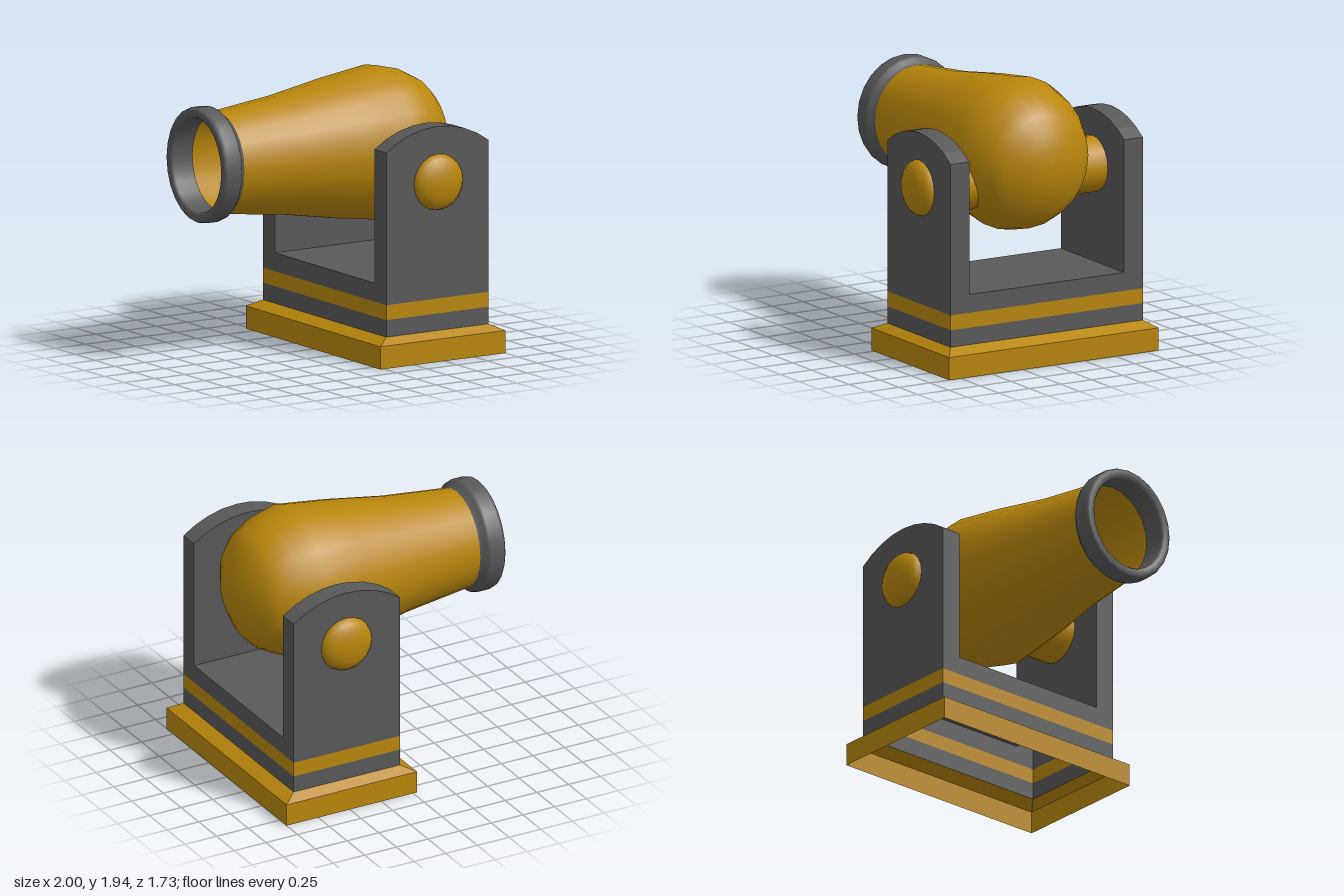
import * as THREE from 'three';

const amber = new THREE.MeshStandardMaterial({ color: 0xb8860b, side: THREE.DoubleSide });
amber.name = 'amber';
const grey = new THREE.MeshStandardMaterial({ color: 0x595959, side: THREE.DoubleSide });
grey.name = 'grey';

const X0 = 0.065, X1 = 0.905, CX = 0.485, Z = 0.775, ZIN = 0.625, DECK = 0.56;

function add(parent, name, geometry, material) {
  const mesh = new THREE.Mesh(geometry, material);
  mesh.name = name;
  parent.add(mesh);
  return mesh;
}

// Flat quads between two matching rows of [x, y, z] points
function strip(a, b) {
  const pos = [];
  for (let i = 0; i < a.length - 1; i++) {
    pos.push(...a[i], ...a[i + 1], ...b[i + 1], ...a[i], ...b[i + 1], ...b[i]);
  }
  const g = new THREE.BufferGeometry();
  g.setAttribute('position', new THREE.Float32BufferAttribute(pos, 3));
  g.computeVertexNormals();
  return g;
}

const rect = (y, x0, x1, z) => [[x0, y, z], [x1, y, z], [x1, y, -z], [x0, y, -z], [x0, y, z]];

function lathe(points, segments) {
  return new THREE.LatheGeometry(points.map(([r, h]) => new THREE.Vector2(r, h)), segments);
}

export function createModel() {
  const model = new THREE.Group();
  model.name = 'cannon';

  // Plinth with a sloped top edge, open underneath
  add(model, 'plinth', strip(rect(0, -0.03, 1, 0.845), rect(0.16, -0.03, 1, 0.845)), amber);
  add(model, 'plinthSlope', strip(rect(0.16, -0.03, 1, 0.845), rect(0.205, X0, X1, Z)), amber);

  // Hollow yoke body with a painted band
  const yoke = new THREE.Group();
  yoke.name = 'yoke';
  model.add(yoke);
  const ring = (y) => rect(y, X0, X1, Z);
  add(yoke, 'lowerBody', strip(ring(0.205), ring(0.325)), grey);
  add(yoke, 'band', strip(ring(0.325), ring(0.43)), amber);
  add(yoke, 'upperBody', strip(ring(0.43), ring(DECK)), grey);
  add(yoke, 'deck', strip(
    [[X0, DECK, ZIN], [X1, DECK, ZIN]],
    [[X0, DECK, -ZIN], [X1, DECK, -ZIN]]), grey);

  // Arched arms, open at the bottom into the hollow body
  const half = (X1 - X0) / 2;
  const outline = [[-half, DECK]];
  for (let i = 0; i <= 8; i++) {
    const t = (i / 4 - 1) * Math.asin(0.6);
    outline.push([0.7 * Math.sin(t), 0.94 + 0.7 * Math.cos(t)]);
  }
  outline.push([half, DECK]);
  const face = new THREE.Shape(outline.map(([x, y]) => new THREE.Vector2(x, y)));
  for (const side of [1, -1]) {
    const arm = new THREE.Group();
    arm.name = side > 0 ? 'frontArm' : 'backArm';
    arm.position.set(CX, 0, side * (Z + ZIN) / 2);
    yoke.add(arm);
    const t = (Z - ZIN) / 2;
    add(arm, 'armEdge', strip(
      outline.map(([x, y]) => [x, y, t]),
      outline.map(([x, y]) => [x, y, -t])), grey);
    add(arm, 'armFrontFace', new THREE.ShapeGeometry(face).translate(0, 0, t), grey);
    add(arm, 'armBackFace', new THREE.ShapeGeometry(face).rotateY(Math.PI).translate(0, 0, -t), grey);
  }

  // Axle with domed ends
  const axle = new THREE.Group();
  axle.name = 'axle';
  axle.position.set(0.49, 1.25, 0);
  model.add(axle);
  const rod = new THREE.CylinderGeometry(0.197, 0.197, 2 * Z, 20, 1, true);
  add(axle, 'axleRod', rod.rotateX(Math.PI / 2), amber);
  for (const side of [1, -1]) {
    const dome = new THREE.SphereGeometry(0.197, 20, 6, 0, Math.PI * 2, 0, Math.PI / 2);
    dome.scale(1, 0.09 / 0.197, 1).rotateX(side * Math.PI / 2).translate(0, 0, side * Z);
    add(axle, side > 0 ? 'frontAxleCap' : 'backAxleCap', dome, amber);
  }

  // Barrel lying along x, slightly narrower in z, open at the muzzle
  const barrel = new THREE.Group();
  barrel.name = 'barrel';
  barrel.position.y = 1.398;
  barrel.scale.z = 0.94;
  model.add(barrel);
  const body = [[0.358, -0.82], [0.415, -0.33], [0.49, 0.1], [0.542, 0.48], [0.495, 0.67],
    [0.425, 0.8], [0.35, 0.87], [0.21, 0.94], [0.1, 0.965], [0, 0.97]];
  add(barrel, 'barrelBody', lathe(body, 24).rotateZ(-Math.PI / 2), amber);
  const lip = [[0.33, -0.82], [0.33, -0.98], [0.345, -1], [0.385, -1], [0.398, -0.99], [0.405, -0.97],
    [0.405, -0.88], [0.398, -0.86], [0.37, -0.84], [0.358, -0.815]];
  add(barrel, 'muzzleRing', lathe(lip, 24).rotateZ(-Math.PI / 2), grey);

  return model;
}
